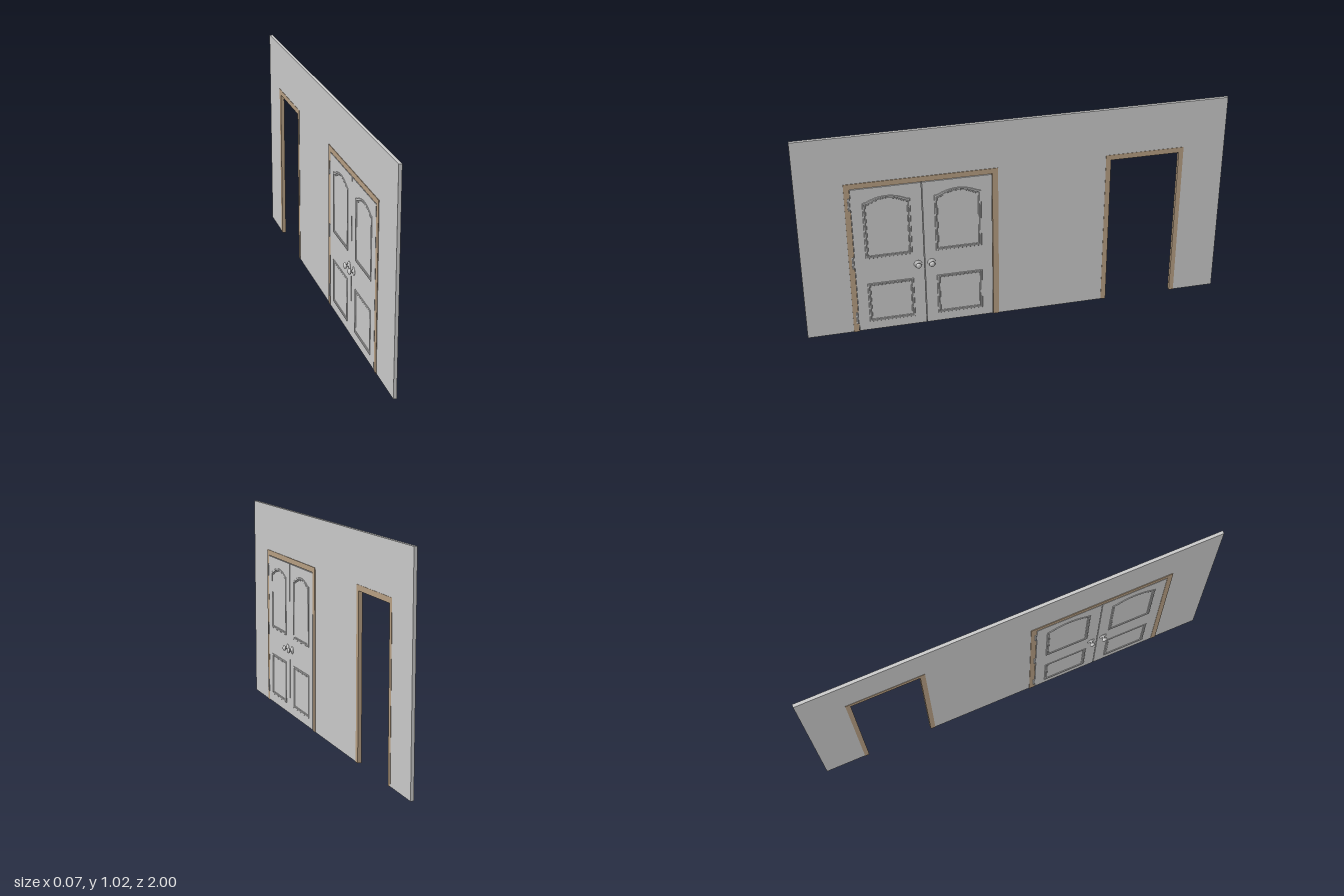
import * as THREE from 'three';

const grey = new THREE.MeshStandardMaterial({ color: 0xcccccc });
const wood = new THREE.MeshStandardMaterial({ color: 0xb8a084 });

const SEAM = 0.434;                       // z where the two leaves meet
const TOP = 0.767, CASING_TOP = 0.793;    // opening height, casing height

function add(parent, name, geometry, material = grey) {
  const mesh = new THREE.Mesh(geometry, material);
  mesh.name = name;
  parent.add(mesh);
  return mesh;
}

// Extrude a (z, y) outline symmetrically about the wall's middle plane.
function slab(shape, thickness, bevel = 0) {
  const g = new THREE.ExtrudeGeometry(shape, {
    depth: thickness - 2 * bevel, bevelEnabled: bevel > 0, bevelThickness: bevel,
    bevelSize: bevel, bevelOffset: -bevel, bevelSegments: 1, curveSegments: 12,
  });
  g.translate(0, 0, -thickness / 2 + bevel);
  return g.rotateY(-Math.PI / 2);
}

const polygon = (pts) => new THREE.Shape(pts.map(([z, y]) => new THREE.Vector2(z, y)));

// Door casing: two posts and a head in one piece
function casing(parent, name, outer, inner, thickness) {
  add(parent, name, slab(polygon([
    [outer[0], 0], [inner[0], 0], [inner[0], TOP], [inner[1], TOP],
    [inner[1], 0], [outer[1], 0], [outer[1], CASING_TOP], [outer[0], CASING_TOP],
  ]), thickness), wood);
}

// Panel outline, inset by d; rise > 0 gives shouldered arch top
function panelPoints(z, halfWidth, y0, y1, rise, d) {
  const w = halfWidth - d, top = y1 - d;
  const pts = [[z - w, y0 + d], [z + w, y0 + d], [z + w, top]];
  if (rise > 0) {
    const a = w * 0.84;
    for (let i = 0; i <= 12; i++) {
      const t = 1 - i / 6;
      pts.push([z + a * t, top + 0.004 + (rise - 0.004) * (1 - t * t)]);
    }
  }
  pts.push([z - w, top]);
  return pts;
}

// Stepped moulding ring, raised on both faces
function moulding(parent, name, z, y0, y1, rise) {
  const group = new THREE.Group();
  group.name = name;
  for (const [d0, d1, thickness] of [[0, 0.009, 0.026], [0.009, 0.015, 0.0235]]) {
    const ring = polygon(panelPoints(z, 0.108, y0, y1, rise, d0));
    ring.holes.push(polygon(panelPoints(z, 0.108, y0, y1, rise, d1)));
    add(group, 'mouldingStep', slab(ring, thickness, 0.0015));
  }
  parent.add(group);
}

// Knob with rosette and neck, turned around the x axis
function knob(parent, z, side) {
  const profile = [
    [0, 0.009], [0.019, 0.009], [0.019, 0.0115], [0.016, 0.0135], [0.006, 0.0145],
    [0.005, 0.022], [0.009, 0.0235], [0.013, 0.027], [0.0138, 0.030],
    [0.012, 0.034], [0.007, 0.0365], [0, 0.037],
  ].map(([r, h]) => new THREE.Vector2(r, h));
  const g = new THREE.LatheGeometry(profile, 24).rotateZ(-side * Math.PI / 2);
  add(parent, 'doorKnob', g).position.set(0, 0.337, z);
}

// Hinge: barrel with a thin plate behind it
function hinge(parent, y, z, side) {
  const group = new THREE.Group();
  group.name = 'hinge';
  add(group, 'hingeBarrel', new THREE.CylinderGeometry(0.004, 0.004, 0.062, 12))
    .position.x = side * 0.0103;
  add(group, 'hingePlate', new THREE.BoxGeometry(0.003, 0.06, 0.014))
    .position.x = side * 0.0095;
  group.position.set(0, y, z);
  parent.add(group);
}

export function createModel() {
  const model = new THREE.Group();
  model.name = 'wallWithDoors';

  // Wall outline with both openings cut up from the floor
  add(model, 'wall', slab(polygon([
    [-1, 0], [-0.785, 0], [-0.785, 0.775], [-0.445, 0.775], [-0.445, 0],
    [0.105, 0], [0.105, 0.775], [0.763, 0.775], [0.763, 0], [1, 0], [1, 1.025], [-1, 1.025],
  ]), 0.015));

  casing(model, 'openDoorwayCasing', [-0.8, -0.426], [-0.778, -0.45], 0.018);
  casing(model, 'doubleDoorCasing', [0.083, 0.783], [0.11, 0.757], 0.0205);

  // Two mirrored door leaves
  for (const s of [-1, 1]) {
    const leaf = new THREE.Group();
    leaf.name = s > 0 ? 'frontDoorLeaf' : 'rearDoorLeaf';
    add(leaf, 'leafBoard', new THREE.BoxGeometry(0.021, 0.76, 0.32))
      .position.set(0, 0.384, SEAM + s * 0.1615);
    const z = SEAM + s * 0.163;
    moulding(leaf, 'upperPanelMoulding', z, 0.397, 0.69, 0.028);
    moulding(leaf, 'lowerPanelMoulding', z, 0.048, 0.261, 0);
    for (const side of [-1, 1]) knob(leaf, SEAM + s * 0.032, side);
    for (const y of [0.078, 0.382, 0.69]) hinge(leaf, y, SEAM + s * 0.328, s);
    model.add(leaf);
  }
  return model;
}
